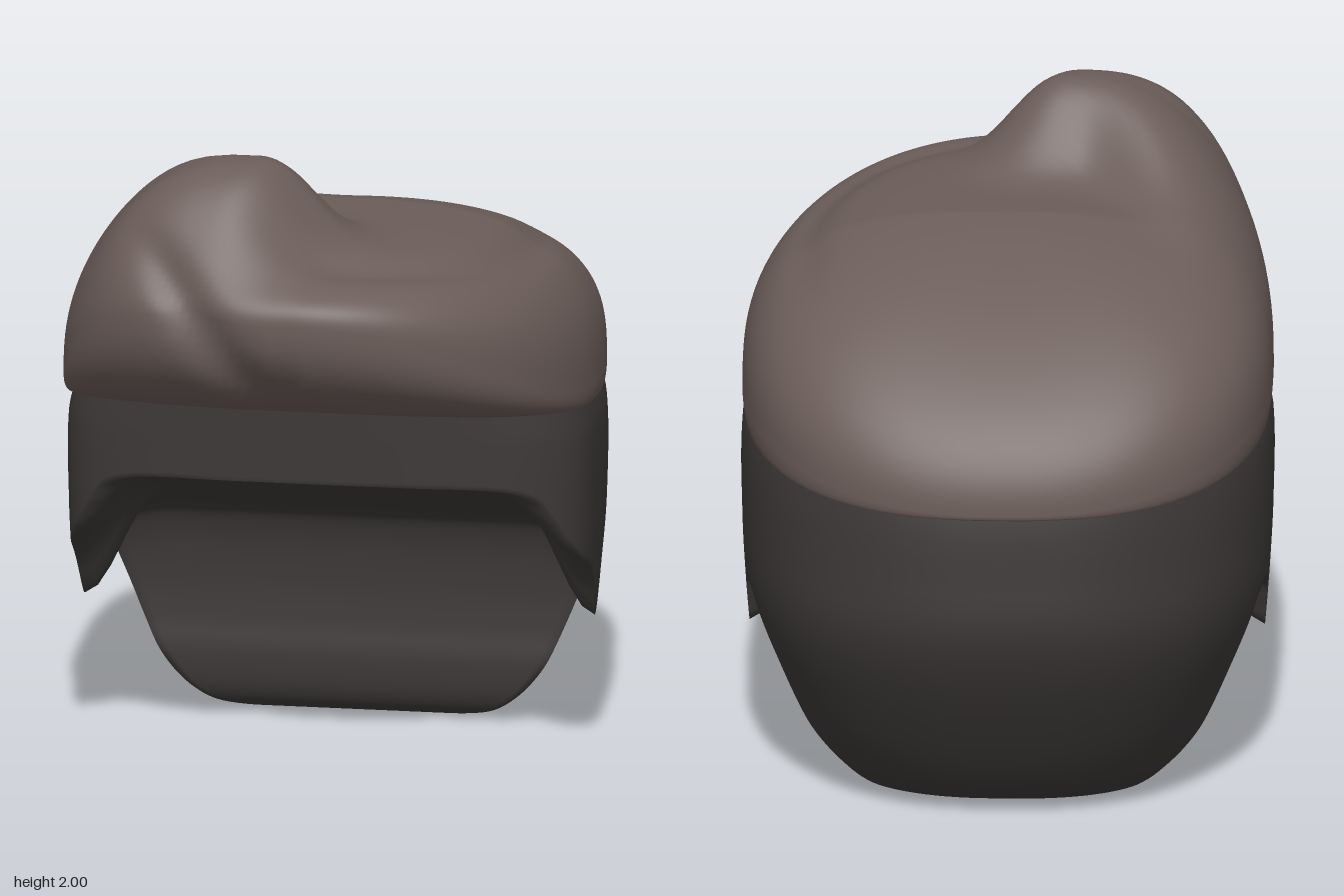
import * as THREE from 'three';
import { mergeVertices } from 'three/addons/utils/BufferGeometryUtils.js';

const { lerp, smoothstep, clamp } = THREE.MathUtils;
const gauss = (d, s) => Math.exp(-(d * d) / (2 * s * s));
const swell = (d, w) => Math.exp(-Math.pow(Math.abs(d) / w, 2.6));
const spow = (v, p) => Math.sign(v) * Math.pow(Math.abs(v), p);

// Smooth surface through a grid of points; columns run towards +x at the front, rows run upwards.
function gridSurface(cols, rows, point) {
  const pos = [], index = [];
  for (let i = 0; i <= cols; i++)
    for (let j = 0; j <= rows; j++) pos.push(...point(i / cols, j));
  for (let i = 0; i < cols; i++)
    for (let j = 0; j < rows; j++) {
      const a = i * (rows + 1) + j, b = a + rows + 1;
      index.push(a, b, b + 1, a, b + 1, a + 1);
    }
  let g = new THREE.BufferGeometry();
  g.setAttribute('position', new THREE.Float32BufferAttribute(pos, 3));
  g.setIndex(index);
  g = mergeVertices(g, 1e-4);
  g.computeVertexNormals();
  return g;
}

// Smooth cubic lookup in [key, value] pairs.
function lookup(table, key) {
  const last = table.length - 1;
  const k = clamp(key, table[0][0], table[last][0]);
  let i = 0;
  while (i < last - 1 && k > table[i + 1][0]) i++;
  const slope = n => {
    const a = table[Math.max(n - 1, 0)], b = table[Math.min(n + 1, last)];
    return (b[1] - a[1]) / (b[0] - a[0]);
  };
  const [k0, v0] = table[i], [k1, v1] = table[i + 1];
  const h = k1 - k0, t = (k - k0) / h, u = 1 - t;
  return v0 * u * u * (1 + 2 * t) + slope(i) * h * t * u * u
    + v1 * t * t * (3 - 2 * t) - slope(i + 1) * h * t * t * u;
}

// ---- Short hair: solid cap with sideburns and nape ----
const BACK = [[0, 0.41], [0.03, 0.5], [0.14, 0.61], [0.36, 0.755], [0.55, 0.855], [0.7, 0.9], [0.85, 0.89], [1.05, 0.865], [1.2, 0.82]];
const WIDTH = [[0, 0.475], [0.05, 0.525], [0.2, 0.63], [0.4, 0.715], [0.6, 0.78], [0.8, 0.8], [1.08, 0.8], [1.2, 0.77]];
const SIDE_WIDTH = [[0.4, 0.775], [0.6, 0.79], [0.8, 0.8], [1.08, 0.8], [1.2, 0.77]];
const FRONT = 0.41, FRONT_POW = 0.5, BACK_POW = 0.82;

function capPoint(phi, y) {
  const c = Math.cos(phi), s = Math.sin(phi);
  const p = c > 0 ? FRONT_POW : BACK_POW;
  const z = spow(c, p) * (c > 0 ? FRONT : lookup(BACK, y));
  const w = lerp(lookup(SIDE_WIDTH, y), lookup(WIDTH, y), smoothstep(-z, 0.1, 0.32));
  return [w * spow(s, p), y, z];
}

function angleAt(z, y) {
  const c = z > 0 ? (z / FRONT) ** (1 / FRONT_POW) : -((-z / lookup(BACK, y)) ** (1 / BACK_POW));
  return Math.acos(clamp(c, -1, 1));
}

// Hem from the brow to the nape: z, y at the outside, then z, y on the centre line.
const HEM = [
  [0.41, 0.95, 0.35, 0.95], [0.4, 0.95, 0.34, 0.948], [0.38, 0.94, 0.32, 0.943], [0.35, 0.905, 0.29, 0.932],
  [0.32, 0.83, 0.26, 0.92], [0.28, 0.75, 0.23, 0.908], [0.22, 0.69, 0.18, 0.888], [0.15, 0.655, 0.13, 0.866],
  [0.09, 0.61, 0.08, 0.843], [0.04, 0.55, 0.04, 0.824], [0.0, 0.485, 0.0, 0.805], [-0.03, 0.448, -0.03, 0.791],
  [-0.055, 0.44, -0.06, 0.777], [-0.08, 0.458, -0.09, 0.763], [-0.105, 0.525, -0.12, 0.748], [-0.13, 0.59, -0.15, 0.733],
  [-0.17, 0.625, -0.19, 0.71], [-0.23, 0.635, -0.24, 0.68], [-0.28, 0.613, -0.285, 0.642],
  [-0.313, 0.53, -0.313, 0.56], [-0.322, 0.42, -0.322, 0.43], [-0.315, 0.3, -0.315, 0.3], [-0.302, 0.19, -0.302, 0.19],
  [-0.31, 0.09, -0.31, 0.09], [-0.335, 0.04, -0.335, 0.04], [-0.37, 0.013, -0.37, 0.013], [-0.4, 0.003, -0.4, 0.003], [-0.41, 0, -0.41, 0],
];

function shortHairGeometry() {
  const outer = new THREE.CatmullRomCurve3(HEM.map(([z, y]) => new THREE.Vector3(0, y, z)));
  const inner = new THREE.CatmullRomCurve3(HEM.map(([, , z, y]) => new THREE.Vector3(0, y, z)));
  const underRows = 20, wallRows = 20;
  return gridSurface(HEM.length * 16, underRows + wallRows, (u, j) => {
    const s = u * 2 - 1, t = Math.abs(s), side = s < 0 ? -1 : 1;
    const e = outer.getPoint(t), c = inner.getPoint(t);
    const y = Math.max(e.y, 0), phi = angleAt(e.z, y);
    let q;
    if (j < underRows) {
      // underside, from the centre line out to the hem
      const v = 1 - j / underRows;
      const k = smoothstep(v, 0, 0.3);
      q = capPoint(phi, y);
      q = [q[0] * (1 - v), lerp(q[1], Math.max(c.y, 0), k), lerp(q[2], c.z, k)];
    } else {
      // outer wall, from the hem up into the top hair
      const zTop = capPoint(phi, 1.1)[2];
      q = capPoint(phi, lerp(y, 1.18 + 0.1 * zTop, (j - underRows) / wallRows));
    }
    return [q[0] * side, q[1], q[2]];
  });
}

// ---- Top hair: swept-forward mass with a curl over the brow ----
function topHairGeometry() {
  const baseRows = 4, lowRows = 14, topRows = 44;
  return gridSurface(200, baseRows + lowRows + topRows, (u, j) => {
    const th = (u * 2 - 1) * Math.PI;
    const c = Math.cos(th), s = Math.sin(th);
    const front = Math.max(c, 0), back = Math.max(-c, 0);
    const p = 2 / (c < 0 ? 2.45 : s > 0 ? 2.05 : 2.95);
    const ox = 0.8 * spow(s, p), oz = spow(c, p) * (c > 0 ? 0.905 : 0.868);
    // height of the widest ring, and the seam ring below it
    const leftFront = s < 0 && c > 0 ? 4 * s * s * c * c : 0;
    const ringY = 1.2 + 0.36 * front ** 2 - 0.13 * back ** 2 + 0.12 * leftFront;
    const sx = 0.785 * spow(s, c > 0 ? 0.55 : p), sz = c > 0 ? 0.4 * spow(c, 0.55) : oz * 0.99;
    const seamY = 1.14 + 0.1 * sz + 0.025 * front;
    let x, y, z;
    if (j <= baseRows) {
      const r = j / baseRows;
      [x, y, z] = [sx * r, lerp(1.15, seamY, r), sz * r];
    } else if (j <= baseRows + lowRows) {
      const a = (1 - (j - baseRows) / lowRows) * Math.PI / 2;
      x = lerp(sx, ox, Math.cos(a));
      z = lerp(sz, oz, Math.cos(a));
      y = lerp(ringY, seamY, Math.sin(a));
    } else {
      const a = ((j - baseRows - lowRows) / topRows) * Math.PI / 2;
      const r = Math.cos(a);
      x = ox * r;
      z = oz * r;
      const crown = 1.735 + 0.2 * Math.min(z, 0) - 0.06 * Math.min(z, 0) ** 2;
      const fullness = 2.85 + 0.65 * front ** 2 - 0.75 * back ** 2;
      y = lerp(ringY, crown, Math.pow(1 - r ** fullness, 1 / fullness));
      // rounded curl: its crest slants to the right, steep on the inside and fading out along the side
      const dz = z - 0.5, dx = x + 0.19 + 0.45 * Math.max(dz, 0);
      const behind = lerp(0.19, 0.42, smoothstep(-x, 0.2, 0.6));
      y += 0.27 * swell(dx, dx < 0 ? 0.5 : 0.24) * swell(dz, dz < 0 ? behind : 0.3) * (1 - r ** 14);
      // furrow sweeping from the curl around the left side
      y -= 0.02 * gauss(r - 0.76, 0.05) * smoothstep(th, -0.3, 0.2) * (1 - smoothstep(th, 1.5, 2.1));
    }
    // slanting crease down the front
    const crease = 0.045 * gauss(x + 0.33 - (1.62 - y) * 0.75, 0.06)
      * smoothstep(z, 0.42, 0.75) * smoothstep(y, 1.2, 1.4) * (1 - smoothstep(y, 1.65, 1.9));
    return [x, y, z - crease];
  });
}

export function createModel() {
  const topColour = new THREE.MeshStandardMaterial({ color: 0x6b5d59 });
  topColour.name = 'warm brown';
  const shortColour = new THREE.MeshStandardMaterial({ color: 0x3d3838, side: THREE.DoubleSide });
  shortColour.name = 'dark brown';

  const model = new THREE.Group();
  model.name = 'hair';
  const shortHair = new THREE.Mesh(shortHairGeometry(), shortColour);
  shortHair.name = 'shortHair';
  const topHair = new THREE.Mesh(topHairGeometry(), topColour);
  topHair.name = 'topHair';
  model.add(shortHair, topHair);
  return model;
}
